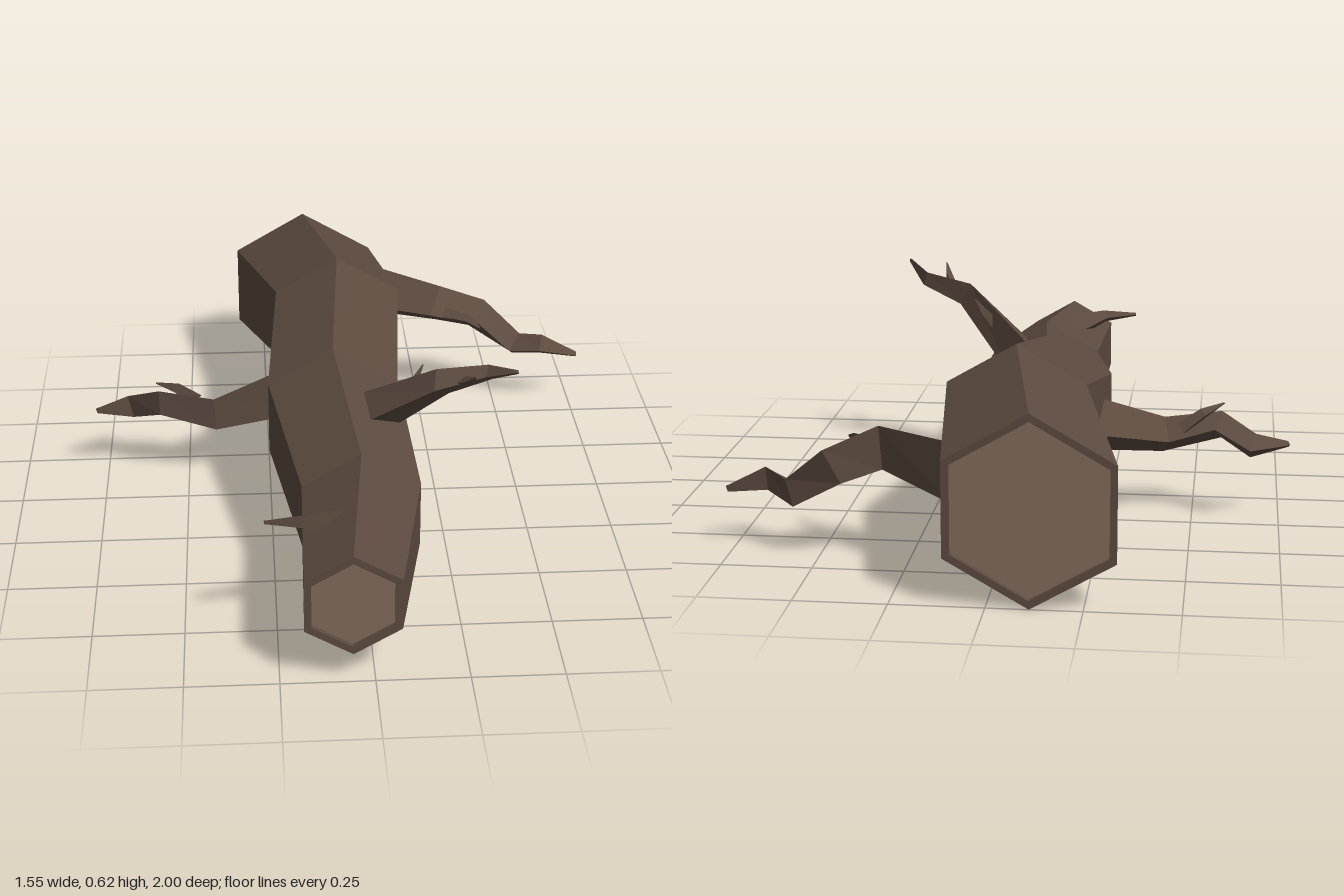
import * as THREE from 'three';

const V = (x, y, z) => new THREE.Vector3(x, y, z);

// Faceted skin through rings of points, each counter-clockwise about the direction of travel
function loft(rings, capEnd) {
  const tris = [];
  const n = rings[0].length;
  for (let k = 0; k < rings.length - 1; k++) {
    const a = rings[k], b = rings[k + 1];
    for (let i = 0; i < n; i++) {
      const j = (i + 1) % n;
      tris.push(a[i], a[j], b[j], a[i], b[j], b[i]);
    }
  }
  if (capEnd) {
    const e = rings[rings.length - 1];
    for (let i = 1; i < n - 1; i++) tris.push(e[0], e[i], e[i + 1]);
  }
  const geo = new THREE.BufferGeometry().setFromPoints(tris);
  geo.computeVertexNormals();
  return geo;
}

// Hexagon with a corner at the top, facing +z
function hexRing(x, y, z, r) {
  return Array.from({ length: 6 }, (_, i) => {
    const a = Math.PI / 2 + (i * Math.PI) / 3;
    return V(x + r * Math.cos(a), y + r * Math.sin(a), z);
  });
}

// Three-sided limb along nodes [x, y, z, radius]
function limb(nodes) {
  const pts = nodes.map(([x, y, z]) => V(x, y, z));
  const rings = pts.map((p, k) => {
    const before = pts[Math.max(k - 1, 0)], after = pts[Math.min(k + 1, pts.length - 1)];
    const t = after.clone().sub(before).normalize();
    const side = t.clone().cross(V(0, 1, 0)).normalize();
    const up = side.clone().cross(t);
    return [0, 1, 2].map((i) => {
      const a = (-i * Math.PI * 2) / 3, r = nodes[k][3];
      return p.clone().addScaledVector(side, r * Math.cos(a)).addScaledVector(up, r * Math.sin(a));
    });
  });
  return loft(rings, true);
}

export function createModel() {
  const group = new THREE.Group();
  const bark = new THREE.MeshStandardMaterial({ color: 0x5c4a3f, flatShading: true });
  bark.name = 'bark';
  const wood = new THREE.MeshStandardMaterial({ color: 0x826a5a, flatShading: true });
  wood.name = 'cutWood';
  const add = (name, geo, mat) => {
    const mesh = new THREE.Mesh(geo, mat);
    mesh.name = name;
    group.add(mesh);
    return mesh;
  };

  // Trunk sections from back to front: x, y, z, radius
  const sections = [
    [-0.112, 0.258, -1, 0.257],
    [-0.023, 0.347, -0.48, 0.222],
    [-0.06, 0.262, 0, 0.222],
    [-0.008, 0.22, 0.52, 0.19],
    [-0.058, 0.233, 1, 0.147],
  ];
  const rim = 0.022, recess = 0.015;
  const [bx, by, bz, br] = sections[0];
  const [fx, fy, fz, fr] = sections[4];
  add('trunk', loft([
    hexRing(bx, by, bz + recess, br - rim),
    hexRing(bx, by, bz, br - rim),
    ...sections.map((s) => hexRing(...s)),
    hexRing(fx, fy, fz, fr - rim),
    hexRing(fx, fy, fz - recess, fr - rim),
  ]), bark);

  // Sawn ends, set slightly inside the bark rim
  const front = add('frontCut', new THREE.CircleGeometry(fr - rim, 6, Math.PI / 2), wood);
  front.position.set(fx, fy, fz - recess);
  const back = add('backCut', new THREE.CircleGeometry(br - rim, 6, Math.PI / 2), wood);
  back.position.set(bx, by, bz + recess);
  back.rotation.y = Math.PI;

  // Branches and their twigs
  const limbs = {
    leftBranch: [
      [0.06, 0.305, -0.815, 0.098], [0.31, 0.32, -0.64, 0.07], [0.45, 0.27, -0.67, 0.06],
      [0.57, 0.178, -0.63, 0.045], [0.65, 0.2, -0.575, 0.038], [0.77, 0.163, -0.58, 0.01],
    ],
    rightBranch: [
      [-0.1, 0.285, -0.235, 0.11], [-0.42, 0.222, -0.135, 0.06], [-0.575, 0.26, -0.14, 0.046],
      [-0.67, 0.217, -0.205, 0.042], [-0.775, 0.218, -0.165, 0.01],
    ],
    upperBranch: [
      [0.03, 0.37, 0.22, 0.075], [0.22, 0.535, 0.355, 0.045],
      [0.355, 0.575, 0.375, 0.025], [0.422, 0.617, 0.457, 0.006],
    ],
    frontStub: [[-0.08, 0.34, 0.74, 0.05], [-0.18, 0.372, 0.795, 0.022], [-0.28, 0.378, 0.81, 0.006]],
    leftTwig: [[0.33, 0.31, -0.61, 0.022], [0.41, 0.312, -0.55, 0.016], [0.44, 0.304, -0.505, 0.003]],
    rightTwig: [[-0.47, 0.25, -0.16, 0.025], [-0.53, 0.298, -0.15, 0.018], [-0.588, 0.325, -0.125, 0.003]],
    upperTwigFront: [[0.27, 0.54, 0.36, 0.02], [0.295, 0.575, 0.42, 0.014], [0.307, 0.608, 0.466, 0.002]],
    upperTwigBack: [[0.13, 0.45, 0.28, 0.02], [0.16, 0.495, 0.25, 0.013], [0.185, 0.54, 0.235, 0.002]],
  };
  for (const [name, nodes] of Object.entries(limbs)) add(name, limb(nodes), bark);

  return group;
}
